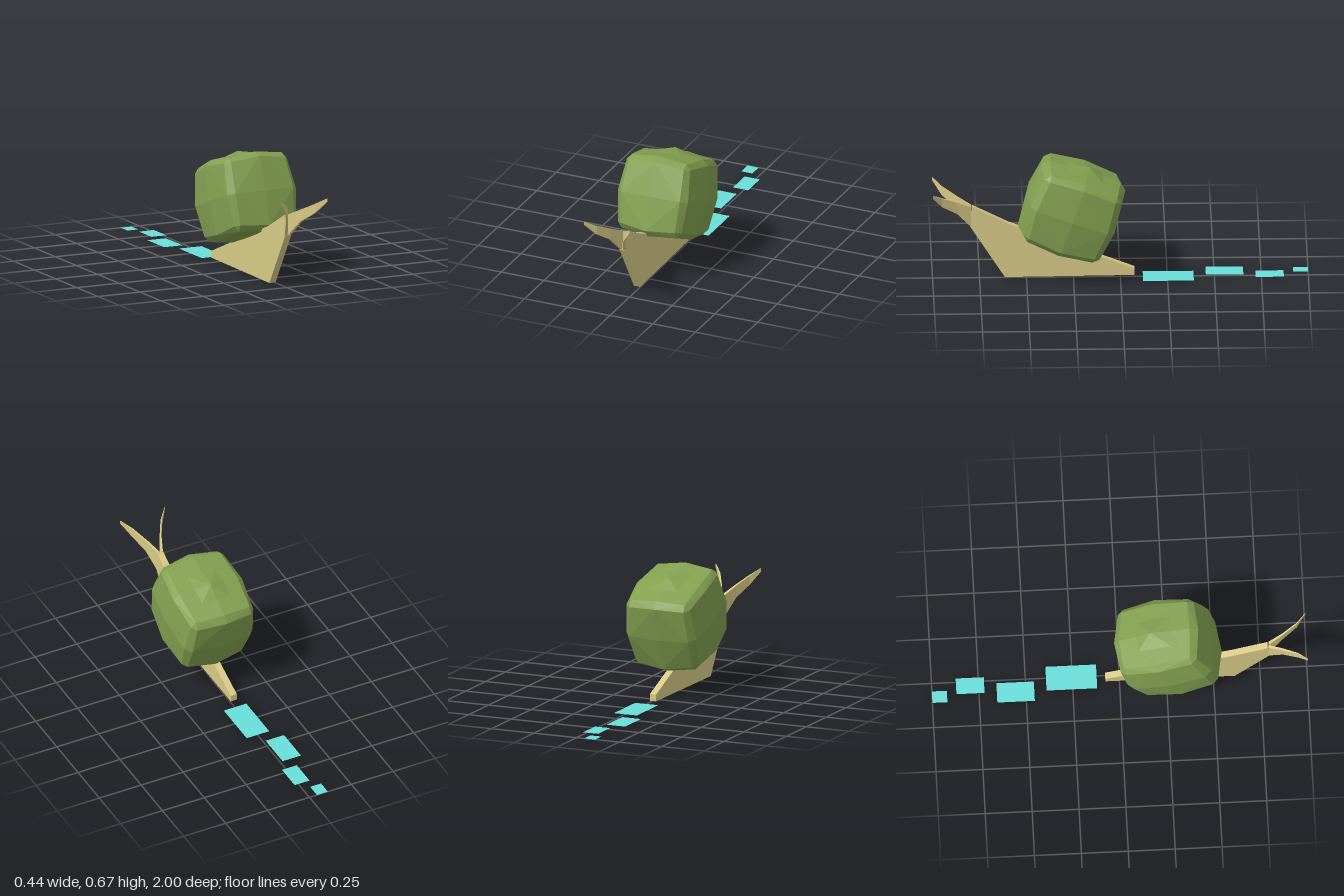
import * as THREE from 'three';
import { ConvexGeometry } from 'three/addons/geometries/ConvexGeometry.js';

const mat = (color) => new THREE.MeshStandardMaterial({ color, flatShading: true, side: THREE.DoubleSide });
const MID_X = -0.018; // the body sits slightly off the centre line

function facets(positions, index) {
  const g = new THREE.BufferGeometry();
  g.setAttribute('position', new THREE.Float32BufferAttribute(positions, 3));
  g.setIndex(index);
  const flat = g.toNonIndexed();
  flat.computeVertexNormals();
  return flat;
}

function add(parent, name, geometry, material) {
  const mesh = new THREE.Mesh(geometry, material);
  mesh.name = name;
  parent.add(mesh);
  return mesh;
}

// Bulging box with chamfered edges: a 3x3 grid of points on each face
function shellGeometry() {
  const inset = [[0.16, 0.171, 0.185], [0.172, 0.187, 0.2]]; // at corners, at edge middles
  const out = [[0.222, 0.22, 0.25], [0.205, 0.217, 0.238], [0.185, 0.2, 0.215]]; // centre, edge, corner
  const points = [];
  for (let axis = 0; axis < 3; axis++) {
    const u = (axis + 1) % 3, v = (axis + 2) % 3;
    for (const s of [-1, 1]) for (const i of [-1, 0, 1]) for (const j of [-1, 0, 1]) {
      const steps = Math.abs(i) + Math.abs(j);
      if (axis === 1 && s === 1 && steps === 0) continue; // the lid covers the top
      const p = [0, 0, 0];
      const grid = inset[steps === 2 ? 0 : 1];
      p[axis] = s * out[steps][axis];
      p[u] = i * grid[u];
      p[v] = j * grid[v];
      points.push(new THREE.Vector3(...p));
    }
  }
  return new ConvexGeometry(points);
}

// Star-shaped lid rising to a point, with shallow valleys on the diagonals
function lidGeometry() {
  const pos = [], index = [];
  for (const ring of [0, 1]) {
    for (let k = 0; k < 8; k++) {
      const a = k * Math.PI / 4, corner = k % 2 === 1;
      const scale = ring ? 0.5 : 1;
      const x = Math.round(Math.cos(a)) * (corner ? 0.16 : 0.172);
      const z = -Math.round(Math.sin(a)) * (corner ? 0.184 : 0.2);
      const y = ring ? (corner ? 0.219 : 0.226) : (corner ? 0.2 : 0.217);
      pos.push(x * scale, y, z * scale);
    }
  }
  pos.push(0, 0.252, -0.015);
  for (let k = 0; k < 8; k++) {
    const n = (k + 1) % 8;
    index.push(k, n, 8 + n, k, 8 + n, 8 + k, 8 + k, 8 + n, 16);
  }
  return facets(pos, index);
}

// Flat tapering stalk that curves outward to one side
function stalkGeometry(side) {
  const stations = [ // z, x, top, bottom, thickness
    [0.795, 0, 0.408, 0.293, 0.018],
    [0.87, 0.036, 0.445, 0.38, 0.012],
    [0.95, 0.082, 0.487, 0.437, 0.008],
    [1.0, 0.131, 0.522, 0.503, 0.002],
  ];
  const pos = [], index = [];
  for (const [z, x, top, bottom, t] of stations) {
    const inner = side * x, outer = side * (x + t);
    pos.push(inner, top, z, inner, bottom, z, outer, bottom, z, outer, top, z);
  }
  const quad = (a, b, c, d) => index.push(...(side > 0 ? [a, b, c, a, c, d] : [a, c, b, a, d, c]));
  for (let i = 0; i < stations.length - 1; i++) {
    for (let k = 0; k < 4; k++) {
      const n = (k + 1) % 4, b = i * 4;
      quad(b + k, b + n, b + 4 + n, b + 4 + k);
    }
  }
  const e = (stations.length - 1) * 4;
  quad(e, e + 1, e + 2, e + 3);
  return facets(pos, index);
}

export function createModel() {
  const model = new THREE.Group();
  model.name = 'snail';
  const shellMat = mat(0x83a050), bodyMat = mat(0xd8ca86), trailMat = mat(0x68ded9);

  // Wedge body, drawn in side profile (z, y)
  const profile = [[-0.075, 0.008], [0.615, 0.002], [0.8, 0.295], [0.79, 0.406], [0.6, 0.31], [-0.075, 0.045]];
  const shape = new THREE.Shape(profile.map(([z, y]) => new THREE.Vector2(z, y)));
  const bodyGeo = new THREE.ExtrudeGeometry(shape, { depth: 0.036, bevelEnabled: false });
  bodyGeo.translate(0, 0, -0.018).rotateY(-Math.PI / 2);
  add(model, 'body', bodyGeo, bodyMat).position.x = MID_X;

  // Pair of eye stalks
  for (const [name, side] of [['leftStalk', 1], ['rightStalk', -1]]) {
    add(model, name, stalkGeometry(side), bodyMat).position.x = MID_X;
  }

  // Shell, leaning back over the body
  const shell = new THREE.Group();
  shell.name = 'shell';
  add(shell, 'shellBlock', shellGeometry(), shellMat);
  add(shell, 'shellLid', lidGeometry(), shellMat);
  shell.position.set(0, 0.398, 0.26);
  shell.rotation.x = -0.34;
  model.add(shell);

  // Slime trail patches on the ground: x from, x to, z from, z to
  const patches = [
    [-0.07, 0.065, -0.39, -0.12],
    [-0.125, -0.015, -0.655, -0.455],
    [-0.067, 0.022, -0.87, -0.72],
    [-0.11, -0.045, -1.0, -0.92],
  ];
  patches.forEach(([x0, x1, z0, z1], i) => {
    const geo = new THREE.PlaneGeometry(x1 - x0, z1 - z0).rotateX(-Math.PI / 2);
    add(model, `slimePatch${i + 1}`, geo, trailMat).position.set((x0 + x1) / 2, 0, (z0 + z1) / 2);
  });
  return model;
}
